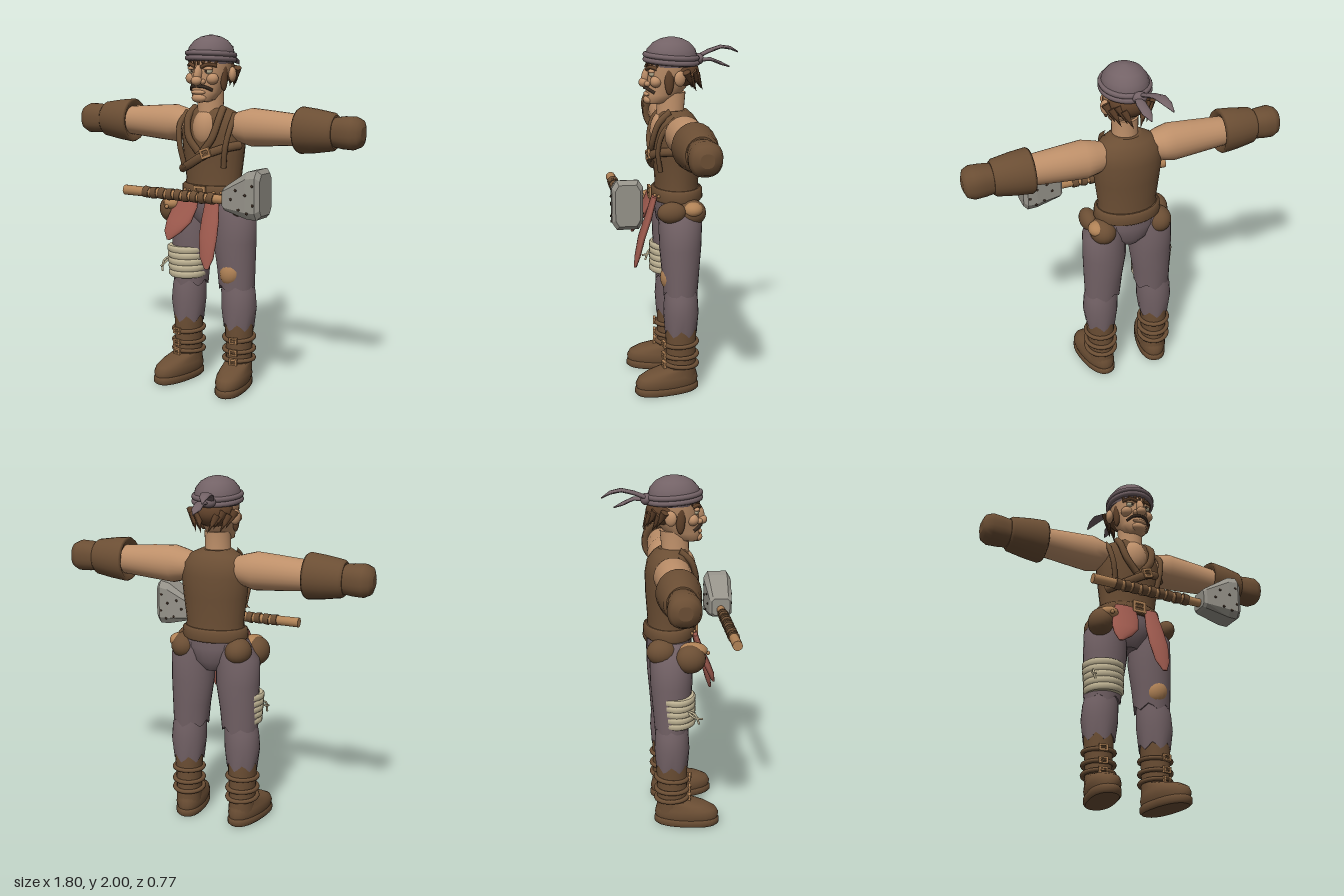
import * as THREE from 'three';

const mat = (name, color) => {
  const m = new THREE.MeshStandardMaterial({ color });
  m.name = name;
  return m;
};
const M = {
  skin: mat('skin', 0xbd8f69), leather: mat('leather', 0x6b4e34), cloth: mat('grey cloth', 0x736266),
  red: mat('red cloth', 0x9e5a4e), cream: mat('bandage', 0xc4b898), stone: mat('stone', 0x96938a),
  tan: mat('tan leather', 0xb08256), dark: mat('dark', 0x3a2c22), hair: mat('hair', 0x5f412a),
};

// Closed skin over elliptical rings [y, cx, cz, rx, rz], listed from bottom to top
function loft(rings, { n = 24, pow = 1, zig = 0, flat = false } = {}) {
  const pos = [], idx = [], round = v => Math.sign(v) * Math.abs(v) ** pow;
  const ring = (r, first) => {
    for (let i = 0; i < n; i++) {
      const a = ((i + 0.5) / n) * Math.PI * 2;
      const drop = first ? zig * [0, 0.6, 1, 0.4][i % 4] : 0;
      pos.push(r[1] + r[3] * round(Math.cos(a)), r[0] - drop, r[2] + r[4] * round(Math.sin(a)));
    }
  };
  rings.forEach((r, j) => ring(r, j === 0));
  for (let j = 0; j < rings.length - 1; j++) {
    for (let i = 0; i < n; i++) {
      const p = j * n + i, q = j * n + (i + 1) % n;
      idx.push(p, p + n, q, q, p + n, q + n);
    }
  }
  [rings[0], rings[rings.length - 1]].forEach((r, k) => {
    const b = pos.length / 3;
    ring(r, k === 0);
    pos.push(r[1], r[0], r[2]);
    for (let i = 0; i < n; i++) {
      const p = b + i, q = b + (i + 1) % n;
      k ? idx.push(b + n, q, p) : idx.push(b + n, p, q);
    }
  });
  let g = new THREE.BufferGeometry();
  g.setAttribute('position', new THREE.Float32BufferAttribute(pos, 3));
  g.setIndex(idx);
  if (flat) g = g.toNonIndexed();
  g.computeVertexNormals();
  return g;
}

function add(parent, name, geo, material, p = [0, 0, 0], r = [0, 0, 0], s = [1, 1, 1]) {
  const m = new THREE.Mesh(geo, material);
  m.name = name;
  m.position.set(...p);
  m.rotation.set(...r);
  m.scale.set(...s);
  parent.add(m);
  return m;
}
const sphere = new THREE.SphereGeometry(1, 20, 14);
const ball = (parent, name, material, p, s, r) => add(parent, name, sphere, material, p, r, s);

// Tube through points, flattened front to back
function strap(parent, name, material, pts, radius, flat = 1) {
  const curve = new THREE.CatmullRomCurve3(pts.map(p => new THREE.Vector3(p[0], p[1], p[2] / flat)));
  return add(parent, name, new THREE.TubeGeometry(curve, 16, radius, 8), material, [0, 0, 0], [0, 0, 0], [1, 1, flat]);
}

// Square buckle frame with its tongue
function buckle(parent, w, h, p, r) {
  const box = (x, y, a, b) => [[-x, -y], [x, -y], [x, y], [-x, y]].map(c => new THREE.Vector2(c[0] * a, c[1] * b));
  const shape = new THREE.Shape(box(w / 2, h / 2, 1, 1));
  shape.holes.push(new THREE.Path(box(w / 2, h / 2, 0.6, 0.55)));
  const g = new THREE.Group();
  g.name = 'buckle';
  g.position.set(...p);
  g.rotation.set(...(r || [0, 0, 0]));
  add(g, 'buckleFrame', new THREE.ExtrudeGeometry(shape, { depth: 0.014, bevelEnabled: false }), M.tan);
  add(g, 'buckleTongue', new THREE.BoxGeometry(w * 0.7, h * 0.12, 0.01), M.tan, [0, 0, 0.01]);
  parent.add(g);
}

function buildLeg(body, s) {
  const leg = new THREE.Group();
  leg.name = s > 0 ? 'leftLeg' : 'rightLeg';
  body.add(leg);
  const x = s * 0.14;
  add(leg, 'thigh', loft([[0.6, s * 0.155, 0, 0.104, 0.095], [0.7, s * 0.15, 0, 0.112, 0.105], [0.85, x, 0, 0.125, 0.118],
    [1.0, x, 0, 0.122, 0.122], [1.1, s * 0.11, 0, 0.08, 0.1]], { zig: 0.035 }), M.cloth);
  add(leg, 'shin', loft([[0.38, s * 0.17, 0, 0.087, 0.09], [0.47, s * 0.17, 0, 0.103, 0.1], [0.56, s * 0.165, 0, 0.1, 0.095],
    [0.64, s * 0.155, 0, 0.09, 0.085]], { zig: 0.04 }), M.cloth);
  // Boot, turned out from the leg
  const boot = new THREE.Group();
  boot.name = 'boot';
  boot.position.set(s * 0.172, 0, 0);
  boot.rotation.y = s * 0.18;
  leg.add(boot);
  add(boot, 'bootShaft', loft([[0.08, 0, 0, 0.075, 0.09], [0.2, 0, 0, 0.072, 0.085], [0.32, 0, 0, 0.08, 0.088], [0.4, 0, 0, 0.084, 0.088]]), M.leather);
  add(boot, 'sole', loft([[0, 0, 0.085, 0.075, 0.175], [0.012, 0, 0.085, 0.086, 0.188], [0.036, 0, 0.085, 0.086, 0.188],
    [0.046, 0, 0.085, 0.08, 0.18]], { pow: 0.85 }), M.leather);
  add(boot, 'bootFoot', loft([[0.042, 0, 0.085, 0.08, 0.18], [0.07, 0, 0.085, 0.088, 0.185], [0.1, 0, 0.08, 0.084, 0.173],
    [0.125, 0, 0.06, 0.076, 0.145], [0.15, 0, 0.01, 0.072, 0.095]], { pow: 0.9 }), M.leather);
  [0.165, 0.22, 0.29].forEach((y, i) => {
    add(boot, 'bootStrap', new THREE.TorusGeometry(0.085, 0.013, 8, 28), M.leather, [0, y, 0], [Math.PI / 2 + 0.05 * (i - 1), 0, 0], [1, 1.08, 1]);
    buckle(boot, 0.05, 0.036, [0, y, 0.096]);
  });
}

function buildArm(body, s) {
  const arm = new THREE.Group();
  arm.name = s > 0 ? 'leftArm' : 'rightArm';
  arm.position.y = 1.5;
  arm.rotation.z = -s * Math.PI / 2;
  body.add(arm);
  add(arm, 'upperArm', loft([[0.12, 0, 0, 0.07, 0.07], [0.19, 0, 0, 0.09, 0.095], [0.25, 0, 0, 0.106, 0.104], [0.38, 0, 0, 0.097, 0.094],
    [0.57, 0, 0, 0.082, 0.08]]), M.skin);
  add(arm, 'gloveCuff', loft([[0.56, 0, 0, 0.085, 0.08], [0.54, 0, 0, 0.118, 0.11], [0.555, 0, 0, 0.127, 0.117], [0.64, 0, 0, 0.118, 0.11],
    [0.74, 0, 0, 0.102, 0.094], [0.755, 0, 0, 0.09, 0.08]]), M.leather);
  add(arm, 'fist', loft([[0.73, 0, 0, 0.076, 0.07], [0.8, 0, 0, 0.086, 0.08], [0.86, 0, 0, 0.088, 0.085], [0.895, 0, 0, 0.072, 0.07],
    [0.91, 0, 0, 0.035, 0.035]], { pow: 0.85 }), M.leather);
}

function buildHead(body) {
  const head = new THREE.Group();
  head.name = 'head';
  body.add(head);
  add(head, 'neck', loft([[1.52, 0, 0.03, 0.085, 0.085], [1.6, 0, 0.035, 0.072, 0.076], [1.7, 0, 0.03, 0.07, 0.08]]), M.skin);
  add(head, 'face', loft([[1.638, 0, 0.11, 0.035, 0.045], [1.65, 0, 0.105, 0.062, 0.07], [1.69, 0, 0.075, 0.078, 0.098], [1.74, 0, 0.05, 0.092, 0.115],
    [1.8, 0, 0.035, 0.113, 0.13], [1.88, 0, 0.03, 0.118, 0.13]]), M.skin);
  // Nose, mouth and moustache
  ball(head, 'noseBridge', M.skin, [0, 1.795, 0.165], [0.022, 0.05, 0.028], [-0.3, 0, 0]);
  ball(head, 'noseTip', M.skin, [0, 1.755, 0.183], [0.031, 0.026, 0.028]);
  ball(head, 'lowerLip', M.skin, [0, 1.692, 0.165], [0.045, 0.013, 0.018]);
  ball(head, 'chin', M.skin, [0, 1.66, 0.155], [0.045, 0.026, 0.03]);
  for (const s of [-1, 1]) {
    strap(head, 'moustache', M.dark, [[0, 1.727, 0.178], [s * 0.04, 1.722, 0.162], [s * 0.068, 1.703, 0.128]], 0.009);
    ball(head, 'cheek', M.skin, [s * 0.066, 1.765, 0.125], [0.036, 0.032, 0.032]);
    ball(head, 'nostril', M.skin, [s * 0.028, 1.75, 0.165], [0.017, 0.016, 0.018]);
    ball(head, 'eye', M.cream, [s * 0.05, 1.808, 0.142], [0.025, 0.018, 0.018]);
    ball(head, 'pupil', M.dark, [s * 0.047, 1.808, 0.157], [0.008, 0.009, 0.005]);
    ball(head, 'eyelid', M.skin, [s * 0.05, 1.82, 0.144], [0.029, 0.012, 0.02]);
    strap(head, 'brow', M.hair, [[s * 0.018, 1.828, 0.168], [s * 0.055, 1.843, 0.155], [s * 0.09, 1.835, 0.118]], 0.01);
    ball(head, 'ear', M.skin, [s * 0.12, 1.785, 0.0], [0.022, 0.042, 0.034], [0, s * 0.4, 0]);
    ball(head, 'sideburn', M.hair, [s * 0.098, 1.775, 0.055], [0.02, 0.08, 0.026]);
    // Loose tufts at the back and sides
    for (let i = 0; i < 4; i++) {
      add(head, 'hairTuft', new THREE.ConeGeometry(0.024, 0.11, 7), M.hair,
        [s * (0.115 - i * 0.026), 1.775 - (i % 2) * 0.02, -0.055 - i * 0.022], [Math.PI + 0.45, 0, s * 0.35]);
    }
  }
  ball(head, 'backHair', M.hair, [0, 1.81, -0.015], [0.115, 0.085, 0.11]);
  for (let i = -3; i <= 3; i++) {
    add(head, 'fringe', new THREE.ConeGeometry(0.013, 0.065, 6), M.hair, [i * 0.027, 1.845, 0.163 - i * i * 0.005], [Math.PI - 0.1, 0, i * 0.1]);
  }
  // Bandana with knot and two tails
  add(head, 'bandana', loft([[1.845, 0, 0.02, 0.122, 0.135], [1.89, 0, 0.03, 0.13, 0.145], [1.935, 0, 0.03, 0.118, 0.133], [1.97, 0, 0.03, 0.09, 0.1],
    [1.99, 0, 0.03, 0.055, 0.06], [2, 0, 0.03, 0.012, 0.014]]), M.cloth);
  for (const y of [1.868, 1.895]) {
    add(head, 'headband', new THREE.TorusGeometry(0.126, 0.015, 8, 32), M.cloth, [0, y, 0.03], [Math.PI / 2 - 0.08, 0, 0], [1, 1.12, 1]);
  }
  ball(head, 'knot', M.cloth, [-0.02, 1.875, -0.125], [0.04, 0.032, 0.03]);
  const back = [-Math.PI / 2, 0, 0];
  add(head, 'longTail', loft([[0.11, -0.03, 1.88, 0.016, 0.014], [0.19, -0.05, 1.915, 0.034, 0.012], [0.26, -0.07, 1.935, 0.034, 0.01],
    [0.32, -0.085, 1.925, 0.025, 0.01], [0.367, -0.1, 1.9, 0.004, 0.004]], { n: 10 }), M.cloth, [0, 0, 0], back);
  add(head, 'shortTail', loft([[0.11, -0.01, 1.87, 0.016, 0.012], [0.19, 0.0, 1.875, 0.028, 0.01], [0.25, -0.008, 1.85, 0.028, 0.01],
    [0.3, -0.012, 1.83, 0.004, 0.004]], { n: 10 }), M.cloth, [0, 0, 0], back);
}

function buildTorso(body) {
  add(body, 'pelvis', loft([[0.92, 0, 0, 0.06, 0.07], [0.98, 0, 0, 0.14, 0.115], [1.06, 0, 0, 0.18, 0.128], [1.14, 0, 0, 0.175, 0.125]]), M.cloth);
  add(body, 'vest', loft([[1.1, 0, 0, 0.178, 0.13], [1.2, 0, 0, 0.168, 0.122], [1.34, 0, 0, 0.186, 0.132], [1.46, 0, 0, 0.2, 0.135],
    [1.53, 0, 0, 0.188, 0.122], [1.575, 0, 0.01, 0.145, 0.1], [1.602, 0, 0.02, 0.085, 0.08]]), M.leather);
  ball(body, 'chest', M.skin, [0, 1.485, 0.068], [0.085, 0.115, 0.082]);
  for (const s of [-1, 1]) {
    strap(body, 'lapel', M.leather, [[s * 0.09, 1.6, 0.05], [s * 0.1, 1.54, 0.115], [s * 0.075, 1.44, 0.145], [s * 0.012, 1.36, 0.145]], 0.022, 0.7);
    strap(body, 'vestEdge', M.leather, [[s * 0.155, 1.57, 0.03], [s * 0.165, 1.5, 0.1], [s * 0.15, 1.4, 0.125], [s * 0.13, 1.28, 0.11]], 0.017, 0.8);
    ball(body, 'hipFlap', M.leather, [s * 0.165, 1.05, -0.055], [0.075, 0.075, 0.085]);
  }
  // Slanted chest strap
  strap(body, 'chestStrap', M.leather, [[-0.165, 1.25, 0.07], [-0.08, 1.285, 0.133], [0.03, 1.345, 0.156], [0.13, 1.385, 0.118], [0.19, 1.4, 0.04]], 0.025, 0.6);
  buckle(body, 0.06, 0.055, [0.045, 1.36, 0.16], [0, 0.12, 0.35]);
  for (const x of [-0.11, -0.05, 0.11]) ball(body, 'strapStud', M.tan, [x, 1.32 + x * 0.45, 0.149 - x * x * 1.6], [0.008, 0.008, 0.008]);
  // Belt
  add(body, 'belt', loft([[1.1, 0, 0, 0.182, 0.136], [1.112, 0, 0, 0.194, 0.147], [1.16, 0, 0, 0.19, 0.145], [1.172, 0, 0, 0.175, 0.132]]), M.leather);
  buckle(body, 0.08, 0.07, [0, 1.137, 0.146]);
  for (const x of [-0.12, -0.08, 0.08, 0.12]) ball(body, 'beltStud', M.tan, [x, 1.137, 0.147 - x * x * 2], [0.009, 0.009, 0.009]);
  // Pouches
  ball(body, 'rightPouch', M.leather, [-0.215, 1.02, 0.1], [0.07, 0.08, 0.085]);
  ball(body, 'rightPouchFlap', M.tan, [-0.185, 1.06, 0.115], [0.062, 0.045, 0.083]);
  ball(body, 'pouchButton', M.tan, [-0.19, 1.045, 0.2], [0.012, 0.012, 0.01]);
  ball(body, 'leftPouch', M.leather, [0.21, 1.065, 0.06], [0.05, 0.06, 0.08]);
  ball(body, 'leftPouchFlap', M.tan, [0.2, 1.075, -0.06], [0.052, 0.042, 0.055]);
  // Hanging cloths
  add(body, 'rightSash', loft([[0.865, -0.155, 0.235, 0.012, 0.008], [0.91, -0.135, 0.222, 0.055, 0.018], [0.97, -0.11, 0.195, 0.082, 0.022],
    [1.05, -0.09, 0.16, 0.08, 0.02], [1.13, -0.08, 0.135, 0.065, 0.016]], { n: 14 }), M.red);
  add(body, 'leftSash', loft([[0.73, 0.105, 0.25, 0.014, 0.008], [0.79, 0.098, 0.236, 0.044, 0.016], [0.9, 0.09, 0.21, 0.058, 0.02],
    [1.0, 0.085, 0.175, 0.055, 0.02], [1.13, 0.078, 0.137, 0.04, 0.016]], { n: 14 }), M.red);
}

function buildHammer(body) {
  const hammer = new THREE.Group();
  hammer.name = 'hammer';
  hammer.position.set(0, 1.145, 0.335);
  body.add(hammer);
  const along = [0, 0, -Math.PI / 2];
  add(hammer, 'handle', new THREE.CylinderGeometry(0.024, 0.028, 0.68, 14), M.tan, [-0.035, 0, 0], along);
  for (let i = 0; i < 9; i++) {
    add(hammer, 'gripWrap', new THREE.CylinderGeometry(0.031, 0.033, 0.036, 12), M.leather, [-0.225 + i * 0.052, 0, 0], [0, 0, -Math.PI / 2 + (i % 2 ? 0.12 : -0.1)]);
  }
  add(hammer, 'hammerHead', loft([[0.285, -0.015, 0, 0.052, 0.055], [0.3, -0.015, 0, 0.064, 0.068], [0.44, -0.045, 0, 0.128, 0.083],
    [0.495, -0.05, 0, 0.135, 0.083], [0.518, -0.05, 0, 0.112, 0.066]], { n: 8, pow: 0.4, flat: true }), M.stone, [0, 0, 0], along);
  for (const [x, y] of [[0.35, 0.02], [0.38, 0.07], [0.4, -0.03], [0.44, 0.05], [0.45, -0.045], [0.48, 0.1], [0.485, 0.0]]) {
    for (const s of [-1, 1]) ball(hammer, 'pit', M.dark, [x, y, s * Math.min(0.081, 0.068 + (x - 0.3) * 0.1)], [0.008, 0.007, 0.004]);
  }
}

export function createModel() {
  const model = new THREE.Group();
  model.name = 'brawler';
  const body = new THREE.Group();
  body.name = 'body';
  body.position.z = -0.05;
  body.rotation.y = 0.18;
  model.add(body);
  for (const s of [-1, 1]) {
    buildLeg(body, s);
    buildArm(body, s);
  }
  buildTorso(body);
  buildHead(body);
  buildHammer(body);
  // Bandaged right knee
  for (let i = 0; i < 5; i++) {
    const y = 0.645 + i * 0.034, w = 0.11 + i * 0.002;
    add(body, 'kneeBandage', loft([[y - 0.02, -0.14, 0.028, w - 0.008, 0.095], [y - 0.01, -0.14, 0.028, w + 0.003, 0.106],
      [y + 0.012, -0.14, 0.028, w + 0.003, 0.106], [y + 0.02, -0.14, 0.028, w - 0.006, 0.097]]), M.cream, [0, (i - 2) * 0.002, 0], [0, 0, 0.03]);
  }
  for (const k of [0, 1]) {
    strap(body, 'bandageString', M.cream, [[-0.245, 0.73, 0.07], [-0.265, 0.71 - k * 0.02, 0.12], [-0.262, 0.65 + k * 0.03, 0.145 + k * 0.02]], 0.006);
  }
  // Patched left knee
  ball(body, 'kneePatch', M.tan, [0.15, 0.675, 0.065], [0.062, 0.075, 0.05], [0, 0, -0.3]);
  return model;
}
